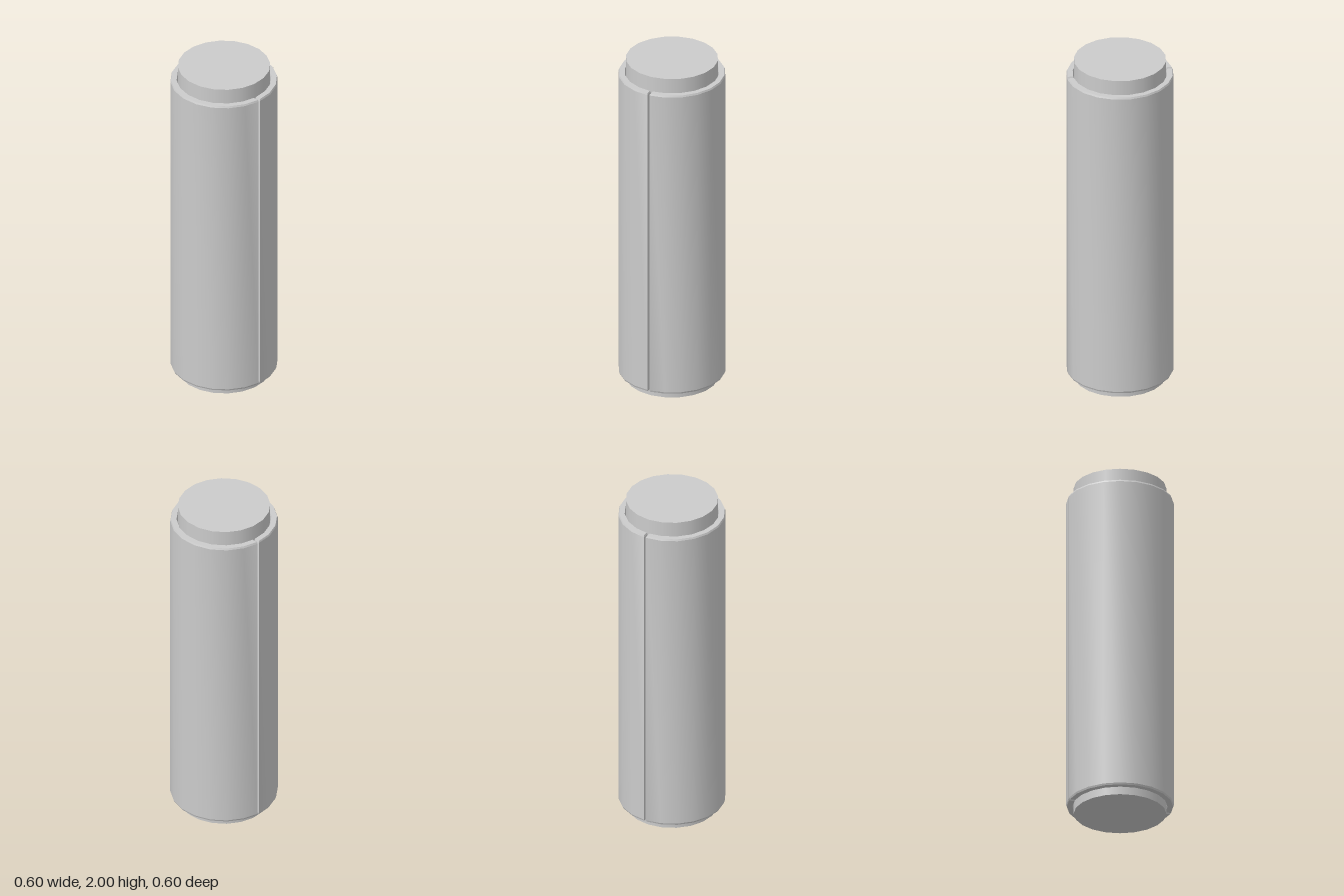
import * as THREE from 'three';
import { toCreasedNormals } from 'three/addons/utils/BufferGeometryUtils.js';

const SIDES = 20;
const CORE_RADIUS = 0.258;
const SHELL = { outer: 0.3, inner: 0.261, bottom: 0.043, top: 1.915, halfGap: 0.005 };
const BEVEL = { width: 0.004, height: 0.01 };

// Points of a half circle on the +x side, cut back from x = 0 to leave the seam
function halfArc(radius) {
  const points = [];
  for (let i = 0; i <= SIDES / 2; i++) {
    const a = -Math.PI / 2 + (i * 2 * Math.PI) / SIDES;
    points.push(new THREE.Vector2(Math.max(radius * Math.cos(a), SHELL.halfGap), radius * Math.sin(a)));
  }
  return points;
}

// Half sleeve with finely bevelled rims
function halfSleeveGeometry() {
  const shape = new THREE.Shape([...halfArc(SHELL.outer), ...halfArc(SHELL.inner).reverse()]);
  const geometry = new THREE.ExtrudeGeometry(shape, {
    depth: SHELL.top - SHELL.bottom - 2 * BEVEL.height,
    bevelEnabled: true,
    bevelSegments: 1,
    bevelSize: BEVEL.width,
    bevelOffset: -BEVEL.width,
    bevelThickness: BEVEL.height,
  });
  geometry.rotateX(-Math.PI / 2);
  geometry.translate(0, SHELL.bottom + BEVEL.height, 0);
  return toCreasedNormals(geometry, 0.35);
}

export function createModel() {
  const model = new THREE.Group();
  model.name = 'splitSleeveCylinder';
  const material = new THREE.MeshStandardMaterial({ color: 0xcccccc });

  // Solid core, protruding at both ends
  const core = new THREE.Mesh(new THREE.CylinderGeometry(CORE_RADIUS, CORE_RADIUS, 2, SIDES), material);
  core.name = 'core';
  core.position.y = 1;
  model.add(core);

  // Two half sleeves with narrow seams at the front and back
  const sleeve = halfSleeveGeometry();
  ['leftSleeve', 'rightSleeve'].forEach((name, i) => {
    const half = new THREE.Mesh(sleeve, material);
    half.name = name;
    half.rotation.y = i * Math.PI;
    model.add(half);
  });

  return model;
}
